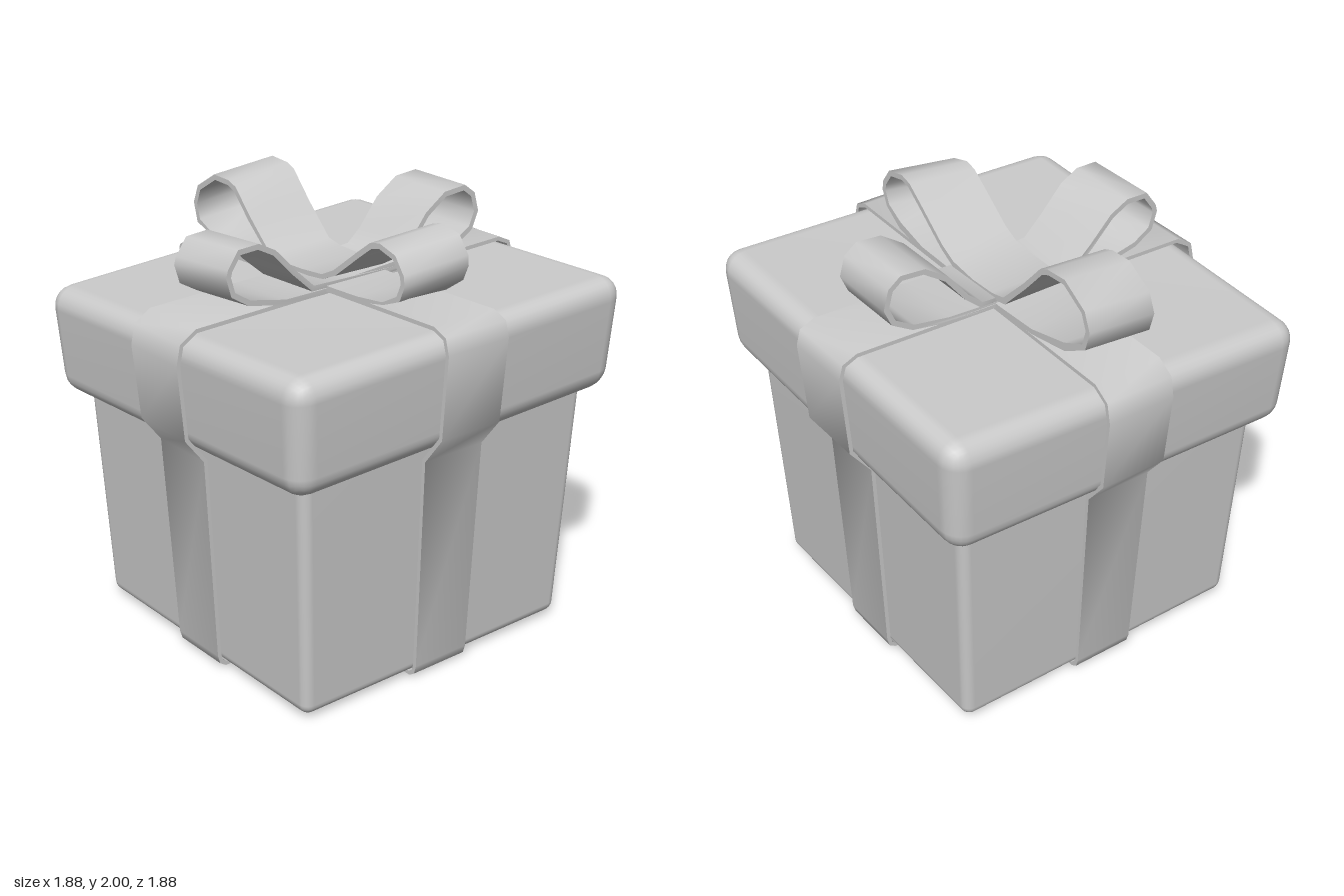
import * as THREE from 'three';
import { RoundedBoxGeometry } from 'three/addons/geometries/RoundedBoxGeometry.js';
import { mergeVertices, toCreasedNormals } from 'three/addons/utils/BufferGeometryUtils.js';

const grey = new THREE.MeshStandardMaterial({ color: 0xcccccc, side: THREE.DoubleSide });
const lerp = THREE.MathUtils.lerp;

// Move every vertex of a geometry by a rule.
function deform(geo, rule) {
  const pos = geo.attributes.position;
  const v = new THREE.Vector3();
  for (let i = 0; i < pos.count; i++) {
    v.fromBufferAttribute(pos, i);
    rule(v);
    pos.setXYZ(i, v.x, v.y, v.z);
  }
  return geo;
}

// Rounded unit-height block, deformed, with smooth normals.
function softBlock(name, width, height, radius, rule) {
  let geo = new RoundedBoxGeometry(width, height, width, 3, radius);
  deform(geo, rule);
  geo.deleteAttribute('normal');
  geo.deleteAttribute('uv');
  geo = mergeVertices(geo, 1e-4);
  geo.computeVertexNormals();
  const mesh = new THREE.Mesh(geo, grey);
  mesh.name = name;
  return mesh;
}

// Shift a closed counter-clockwise outline inward by t.
function inset(pts, t) {
  const n = pts.length;
  return pts.map((p, i) => {
    const a = p.clone().sub(pts[(i + n - 1) % n]).normalize();
    const b = pts[(i + 1) % n].clone().sub(p).normalize();
    const na = new THREE.Vector2(-a.y, a.x);
    const m = na.clone().add(new THREE.Vector2(-b.y, b.x)).normalize();
    return p.clone().addScaledVector(m, t / Math.max(0.5, m.dot(na)));
  });
}

// Closed ribbon: outline with thickness, extruded to the ribbon's width.
function ribbon(name, outline, thickness, rule, alongZ) {
  let pts = outline.map(([x, y]) => new THREE.Vector2(x, y));
  if (THREE.ShapeUtils.area(pts) < 0) pts.reverse();
  const shape = new THREE.Shape(pts);
  shape.holes.push(new THREE.Path(inset(pts, thickness)));
  const geo = new THREE.ExtrudeGeometry(shape, { depth: 0.33, bevelEnabled: false });
  geo.translate(0, 0, -0.165);
  deform(geo, rule);
  if (alongZ) geo.rotateY(-Math.PI / 2);
  const mesh = new THREE.Mesh(toCreasedNormals(geo, 0.95), grey);
  mesh.name = name;
  return mesh;
}

export function createModel() {
  const model = new THREE.Group();
  model.name = 'giftBox';

  // Box body, wider towards the top
  model.add(softBlock('boxBody', 1.57, 1.16, 0.05, (v) => {
    const k = lerp(0.94, 1.005, v.y / 1.16 + 0.5);
    v.set(v.x * k, v.y + 0.6, v.z * k);
  }));

  // Crooked lid: each corner sits at its own height
  const corner = (v, fl, fr, bl, br) => {
    const s = v.x / 1.82 + 0.5, f = v.z / 1.82 + 0.5;
    return lerp(lerp(bl, br, s), lerp(fl, fr, s), f);
  };
  model.add(softBlock('lid', 1.82, 0.52, 0.1, (v) => {
    const t = v.y / 0.52 + 0.5;
    const y = lerp(corner(v, 1.03, 1.1, 1.08, 1.15), corner(v, 1.53, 1.62, 1.63, 1.67), t);
    const k = lerp(0.965, 1, t);
    v.set(v.x * k, y, v.z * k);
  }));

  // Ribbons wrapped round the box, narrower at the base
  const taper = (v) => { v.z *= lerp(0.88, 1, Math.min(1, v.y / 1.5)); };
  const wrap = (low, high) => [
    [-0.72, 0], [0.72, 0], [0.75, 0.02], [0.762, 0.06],
    high.foot, high.hip, [0.94, high.top - 0.1], [0.92, high.top - 0.03], [0.85, high.top],
    [-0.84, low.top], [-0.92, low.top - 0.05], [-0.94, low.top - 0.14], low.hip, low.foot,
    [-0.762, 0.06], [-0.75, 0.02],
  ];
  const low = { foot: [-0.815, 1.02], hip: [-0.908, 1.14], top: 1.62 };
  const high = { foot: [0.808, 1.06], hip: [0.908, 1.19], top: 1.67 };
  model.add(ribbon('sideToSideRibbon', wrap(low, high), 0.018, taper, false));
  const mirror = wrap(low, high).map(([x, y]) => [-x, y]);
  model.add(ribbon('frontToBackRibbon', mirror, 0.018, taper, true));

  // Bow running left to right, its loops slightly twisted
  const bowX = [
    [0, 1.635], [0.2, 1.635], [0.38, 1.642], [0.55, 1.675], [0.65, 1.73], [0.68, 1.8], [0.675, 1.845],
    [0.62, 1.92], [0.52, 1.945], [0.46, 1.93], [0.38, 1.87], [0.22, 1.745], [0.14, 1.705], [0, 1.69],
    [-0.14, 1.69], [-0.22, 1.705], [-0.36, 1.84], [-0.47, 1.96], [-0.52, 1.98], [-0.63, 1.985],
    [-0.76, 1.905], [-0.795, 1.82], [-0.77, 1.73], [-0.64, 1.67], [-0.42, 1.635], [-0.2, 1.63],
  ];
  model.add(ribbon('sideBow', bowX, 0.024, (v) => {
    const f = Math.min(1, Math.abs(v.x) / 0.6);
    if (v.y > 1.69) v.y -= 0.09 * v.z * f;
    if (v.x > 0) v.x -= 0.07 * v.z * f;
  }, false));

  // Bow running front to back
  const bowZ = [
    [0, 1.625], [0.2, 1.62], [0.4, 1.62], [0.6, 1.66], [0.69, 1.715], [0.715, 1.8], [0.705, 1.835],
    [0.65, 1.91], [0.54, 1.915], [0.45, 1.87], [0.34, 1.76], [0.24, 1.672], [0, 1.67],
    [-0.23, 1.685], [-0.3, 1.745], [-0.4, 1.87], [-0.51, 1.945], [-0.63, 1.955], [-0.69, 1.91],
    [-0.715, 1.82], [-0.68, 1.74], [-0.58, 1.68], [-0.4, 1.65], [-0.2, 1.64],
  ];
  model.add(ribbon('frontBackBow', bowZ, 0.024, (v) => {
    // here x is the length of the bow and -z its side
    if (v.x < 0.1) return;
    const f = Math.min(1, v.x / 0.7), side = -v.z;
    v.y += 0.06 * side * f;
    v.x -= 0.08 * side * f;
    v.z -= 0.025 * f;
  }, true));

  return model;
}
